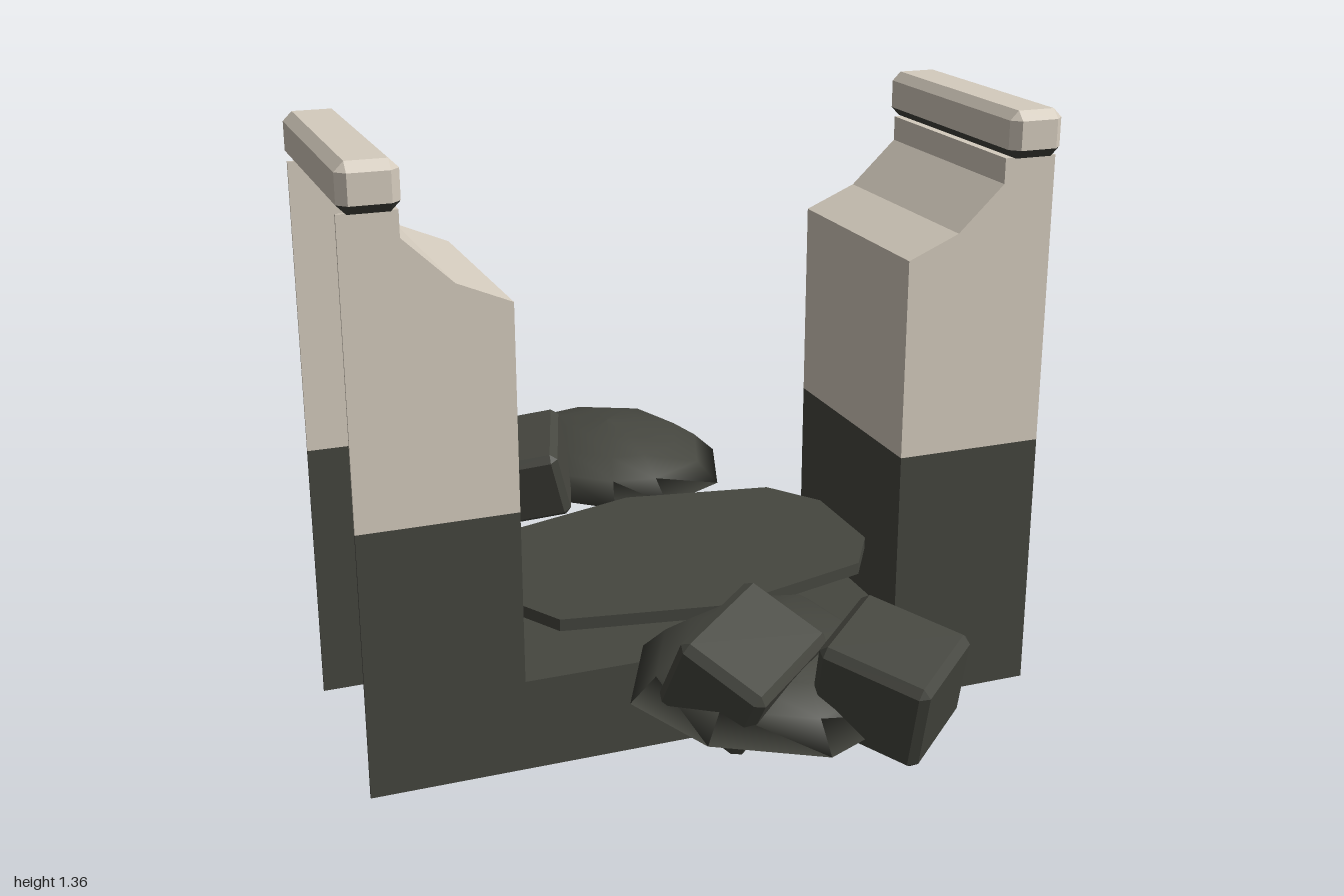
import * as THREE from 'three';
import { ConvexGeometry } from 'three/addons/geometries/ConvexGeometry.js';

const Z_FRONT = 0.235, Z_BACK = -0.285, SHEET = 0.006;

export function createModel() {
  const root = new THREE.Group();
  const dark = new THREE.MeshStandardMaterial({ color: 0x45463f });
  dark.name = 'dark stone';
  const light = new THREE.MeshStandardMaterial({ color: 0xd5ccbe });
  light.name = 'pale stone';

  const add = (name, geometry, material) => {
    const mesh = new THREE.Mesh(geometry, material);
    mesh.name = name;
    root.add(mesh);
    return mesh;
  };

  // Extrude an x-y outline from z0 to z1, optionally mirrored in x
  const slab = (points, z0, z1, side = 1) => {
    const shape = new THREE.Shape(points.map(([x, y]) => new THREE.Vector2(x * side, y)));
    return new THREE.ExtrudeGeometry(shape, { depth: z1 - z0, bevelEnabled: false }).translate(0, 0, z0);
  };

  // Box with every edge and corner cut off
  const chamferBox = (w, h, d, c) => {
    const points = [];
    for (const x of [-1, 1]) for (const y of [-1, 1]) for (const z of [-1, 1]) {
      const p = [x * w / 2, y * h / 2, z * d / 2], s = [x, y, z];
      for (let keep = 0; keep < 3; keep++) {
        points.push(new THREE.Vector3(...p.map((v, i) => (i === keep ? v : v - s[i] * c))));
      }
    }
    return new ConvexGeometry(points);
  };

  // U-shaped end sheets: dark foot, pale shoulders
  const foot = [[-0.782, 0], [0.782, 0], [0.782, 0.6], [0.438, 0.6], [0.438, 0.21],
    [-0.438, 0.21], [-0.438, 0.6], [-0.782, 0.6]];
  const shoulder = [[0.438, 0.6], [0.782, 0.6], [0.782, 1.256], [0.66, 1.256],
    [0.66, 1.2], [0.555, 1.1], [0.438, 1.05]];
  for (const [label, z] of [['front', Z_FRONT - SHEET], ['back', Z_BACK]]) {
    add(label + 'FootSheet', slab(foot, z, z + SHEET), dark);
    for (const side of [-1, 1]) {
      add(label + 'ShoulderSheet', slab(shoulder, z, z + SHEET, side), light);
    }
  }

  // Capping rail: pale, with a dark underside and lower bevel
  const rail = chamferBox(0.125, 0.103, 0.585, 0.02);
  const normals = rail.getAttribute('normal');
  for (let i = 0; i < normals.count; i += 3) rail.addGroup(i, 3, normals.getY(i) < -0.3 ? 1 : 0);

  // Recessed walls between the sheets, stepped underneath
  const lowerWall = [[0.438, 0.1], [0.555, 0.1], [0.555, 0.05], [0.65, 0.05], [0.65, 0],
    [0.66, 0], [0.66, 0.6], [0.438, 0.6]];
  const upperWall = [[0.438, 0.6], [0.66, 0.6], [0.665, 1.235], [0.7, 1.235], [0.7, 1.256],
    [0.66, 1.256], [0.66, 1.2], [0.555, 1.1], [0.438, 1.05]];
  const z0 = Z_BACK + SHEET, z1 = Z_FRONT - SHEET;
  for (const side of [-1, 1]) {
    add('lowerWall', slab(lowerWall, z0, z1, side), dark);
    add('upperWall', slab(upperWall, z0, z1, side), light);
    add('capRail', rail, [light, dark]).position.set(side * 0.72, 1.308, -0.025);
  }

  // Channel floor
  add('floor', slab([[-0.45, 0.2], [0.45, 0.2], [0.45, 0.21], [-0.45, 0.21]], z0, z1), dark);

  // Flat slab lying between the walls
  const slabOutline = [[-0.52, -0.04], [-0.44, -0.12], [-0.3, -0.27], [0, -0.36], [0.35, -0.3],
    [0.44, -0.17], [0.52, -0.04], [0.44, 0.07], [0.36, 0.2], [0, 0.3], [-0.36, 0.24], [-0.44, 0.1]];
  const plate = slab(slabOutline.map(([x, z]) => [x, -z]), 0, 0.027);
  add('middleSlab', plate.rotateX(-Math.PI / 2).translate(0, 0.318, 0), dark);

  // Smooth closed mound built from scaled rings of its outline
  const mound = (outline, cx, cz) => {
    const rings = [[0, 0.32], [1, 0.32], [0.82, 0.37], [0.62, 0.41], [0.33, 0.435], [0, 0.445]];
    const n = outline.length, last = rings.length - 2, position = [], index = [];
    for (const [s, y] of rings) {
      for (const [x, z] of outline) position.push(cx + (x - cx) * s, y, cz + (z - cz) * s);
    }
    for (let r = 0; r <= last; r++) for (let i = 0; i < n; i++) {
      const a = r * n + i, b = r * n + (i + 1) % n;
      if (r < last) index.push(a, a + n, b + n);
      if (r > 0) index.push(a, b + n, b);
    }
    const g = new THREE.BufferGeometry();
    g.setAttribute('position', new THREE.Float32BufferAttribute(position, 3));
    g.setIndex(index);
    g.computeVertexNormals();
    return g;
  };
  // Outlines run clockwise as seen from above
  const frontOutline = [[-0.33, 0.6], [-0.22, 0.37], [0, 0.28], [0.19, 0.33], [0.24, 0.6],
    [0.17, 0.83], [-0.05, 0.93], [-0.25, 0.81]];
  const backOutline = [[-0.21, -0.94], [0.04, -1], [0.27, -0.89], [0.35, -0.66], [0.27, -0.43],
    [0.1, -0.34], [-0.03, -0.36], [-0.17, -0.48], [-0.22, -0.72]];
  add('frontMound', mound(frontOutline, -0.03, 0.6), dark);
  add('backMound', mound(backOutline, 0.05, -0.65), dark);

  // Loose blocks: size, position, rotation
  const blocks = [
    [[0.26, 0.18, 0.2], [-0.125, 0.4, 0.68], [0.45, 0.7, 0.2]],
    [[0.21, 0.2, 0.23], [0.11, 0.408, 0.84], [0.2, 0.7, 0.22]],
    [[0.16, 0.18, 0.23], [-0.195, 0.405, -0.5], [0.25, -0.32, 0.2]],
    [[0.15, 0.14, 0.2], [-0.24, 0.395, -0.61], [-0.1, -0.08, 0.25]],
  ];
  for (const [size, position, [rx, ry, rz]] of blocks) {
    const block = add('looseBlock', chamferBox(...size, 0.016), dark);
    block.position.set(...position);
    block.rotation.set(rx, ry, rz, 'YXZ');
  }
  return root;
}
